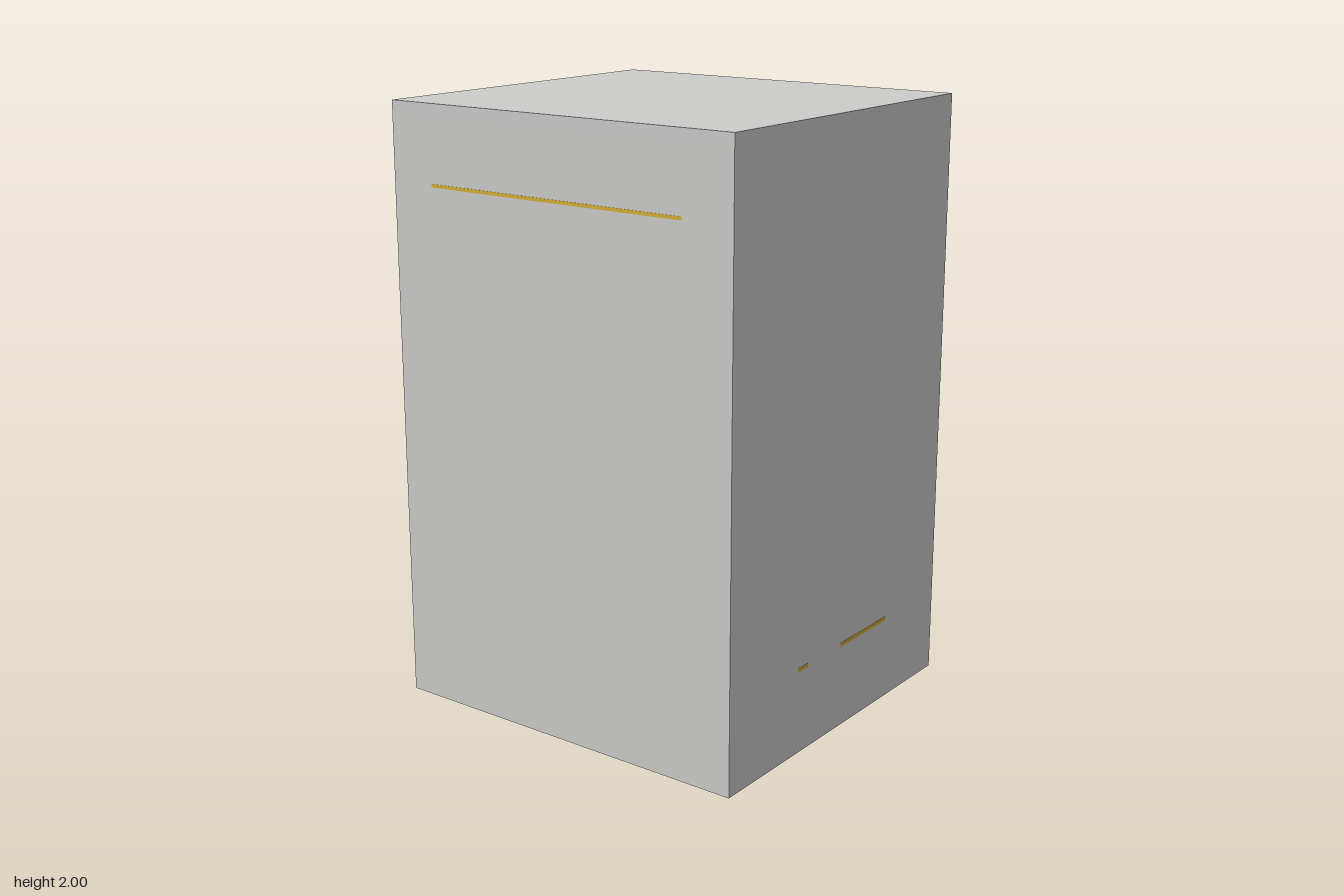
import * as THREE from 'three';

export function createModel() {
  const model = new THREE.Group();
  model.name = 'cabinet';
  const grey = new THREE.MeshStandardMaterial({ color: 0xcccccb });
  grey.name = 'grey panel';
  const gold = new THREE.MeshStandardMaterial({ color: 0xd4af37 });
  gold.name = 'gold inlay';

  // Box given by its minimum and maximum corners
  function box(name, material, [x0, y0, z0], [x1, y1, z1]) {
    const geometry = new THREE.BoxGeometry(x1 - x0, y1 - y0, z1 - z0);
    geometry.translate((x0 + x1) / 2, (y0 + y1) / 2, (z0 + z1) / 2);
    const mesh = new THREE.Mesh(geometry, material);
    mesh.name = name;
    model.add(mesh);
  }

  // Carcass, open towards -x
  const left = -0.64, right = 0.67, depth = 0.61, wall = 0.02;
  const floorTop = 0.04, ceiling = 1.97, inner = depth - wall;
  box('floorPanel', grey, [left, 0, -depth], [right, floorTop, depth]);
  box('topPanel', grey, [left, ceiling, -depth], [right, 2, depth]);
  box('frontPanel', grey, [left, floorTop, inner], [right, ceiling, depth]);
  box('backPanel', grey, [left, floorTop, -depth], [right, ceiling, -inner]);
  box('endPanel', grey, [right - wall, floorTop, -inner], [right, ceiling, inner]);

  // Shelves
  box('upperShelf', grey, [left, 1.21, -inner], [right - wall, 1.3, inner]);
  box('lowerShelf', grey, [left, 0.56, -inner], [right - wall, 0.645, inner]);

  // Drawer front: bevelled edge with a sunken middle, as rectangular rings
  // Each ring is [x, half width, bottom, top]
  const rings = [
    [-0.61, 0.575, 0.08, 0.56],
    [-0.64, 0.575, 0.08, 0.56],
    [-0.67, 0.495, 0.115, 0.53],
    [-0.645, 0.495, 0.115, 0.53],
  ];
  const corners = rings.map(([x, w, b, t]) => [[x, b, -w], [x, b, w], [x, t, w], [x, t, -w]]);
  const positions = [];
  const quad = (a, b, c, d) => positions.push(...a, ...b, ...c, ...a, ...c, ...d);
  for (let r = 0; r < rings.length - 1; r++) {
    for (let i = 0; i < 4; i++) {
      const j = (i + 1) % 4;
      quad(corners[r][i], corners[r][j], corners[r + 1][j], corners[r + 1][i]);
    }
  }
  quad(...corners[rings.length - 1]);
  quad(...[...corners[0]].reverse());
  const drawerGeometry = new THREE.BufferGeometry();
  drawerGeometry.setAttribute('position', new THREE.Float32BufferAttribute(positions, 3));
  drawerGeometry.computeVertexNormals();
  const drawer = new THREE.Mesh(drawerGeometry, grey);
  drawer.name = 'drawerFront';
  model.add(drawer);

  // Hairline inlays on the front and the end panel
  const proud = 0.001;
  box('frontInlay', gold, [-0.48, 1.739, depth - proud], [0.49, 1.75, depth + proud]);
  for (const [z0, z1] of [[0.18, 0.24], [-0.29, -0.01]]) {
    box('endInlay', gold, [right - proud, 0.277, z0], [right + proud, 0.29, z1]);
  }

  return model;
}
